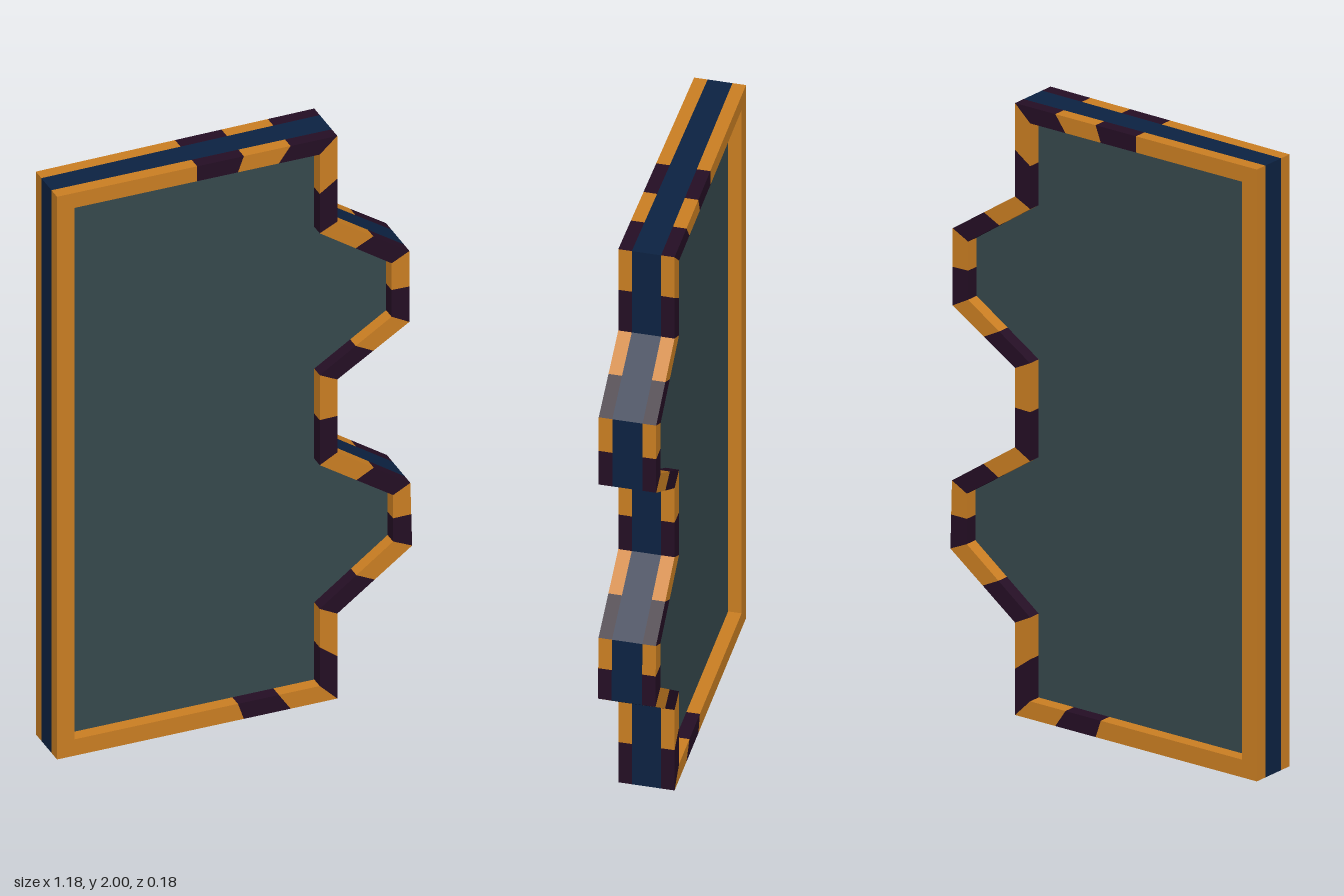
import * as THREE from 'three';
import { mergeGeometries } from 'three/addons/utils/BufferGeometryUtils.js';

const flat = (name, color) => {
  const m = new THREE.MeshStandardMaterial({ color });
  m.name = name;
  return m;
};

// Frame corners, clockwise from top left: [outerX, outerY, innerX, innerY]
const corners = [
  [-0.59, 2, -0.533, 1.947], [0.338, 2, 0.28, 1.947],
  [0.338, 1.695, 0.28, 1.667], [0.577, 1.535, 0.518, 1.505],
  [0.577, 1.283, 0.518, 1.315], [0.338, 1.134, 0.28, 1.163],
  [0.338, 0.875, 0.28, 0.843], [0.58, 0.71, 0.523, 0.68],
  [0.586, 0.486, 0.523, 0.515], [0.338, 0.302, 0.28, 0.332],
  [0.338, 0, 0.28, 0.058], [-0.59, 0, -0.533, 0.058],
];

// Half depths grow slightly towards the notched side
const frameHalf = (x) => 0.0815 + 0.0075 * (x + 0.59);
const coreHalf = (x) => 0.039 + 0.0075 * (x + 0.59);

// Prism over a polygon whose back and front follow two depth rules
function prism(points, back, front) {
  const shape = new THREE.Shape(points.map(([x, y]) => new THREE.Vector2(x, y)));
  const geo = new THREE.ExtrudeGeometry(shape, { depth: 1, bevelEnabled: false });
  const pos = geo.attributes.position;
  for (let i = 0; i < pos.count; i++) {
    const x = pos.getX(i);
    pos.setZ(i, pos.getZ(i) < 0.5 ? back(x) : front(x));
  }
  geo.computeVertexNormals();
  return geo;
}

// Four corners of the part of a frame side between fractions a and b
function piece(side, a, b) {
  const p = corners[side], q = corners[(side + 1) % corners.length];
  const at = (t, k) => [p[k] + (q[k] - p[k]) * t, p[k + 1] + (q[k + 1] - p[k + 1]) * t];
  return [at(a, 0), at(b, 0), at(b, 2), at(a, 2)];
}

// Where the colour changes along each side, starting with orange
function stops(side) {
  if (side === 0) return [0, 1 / 2, 2 / 3, 5 / 6, 1];
  if (side === 10) return [0, 1 / 6, 1 / 3, 1];
  if (side === 11) return [0, 1];
  return [0, 0.5, 1];
}

export function createModel() {
  const model = new THREE.Group();
  model.name = 'notchedPanel';
  const orange = flat('orange', 0xca7e22);
  const purple = flat('darkPurple', 0x240e24);
  const navy = flat('navy', 0x0c2242);
  const slate = flat('slate', 0x36484c);

  const add = (name, geos, material) => {
    const mesh = new THREE.Mesh(mergeGeometries(geos), material);
    mesh.name = name;
    model.add(mesh);
  };

  // Striped rims on the front and back
  const rims = [
    ['front', coreHalf, frameHalf],
    ['back', (x) => -frameHalf(x), (x) => -coreHalf(x)],
  ];
  for (const [name, back, front] of rims) {
    const bands = [[], []];
    corners.forEach((_, side) => {
      const s = stops(side);
      for (let i = 0; i + 1 < s.length; i++) {
        bands[i % 2].push(prism(piece(side, s[i], s[i + 1]), back, front));
      }
    });
    add(name + 'RimOrange', bands[0], orange);
    add(name + 'RimPurple', bands[1], purple);
  }

  // Navy core band between the rims
  add('coreBand', corners.map((_, side) => prism(piece(side, 0, 1), (x) => -coreHalf(x), coreHalf)), navy);

  // Panel filling the frame
  const inner = corners.map((c) => [c[2], c[3]]);
  add('panel', [prism(inner, (x) => -coreHalf(x), coreHalf)], slate);

  return model;
}
